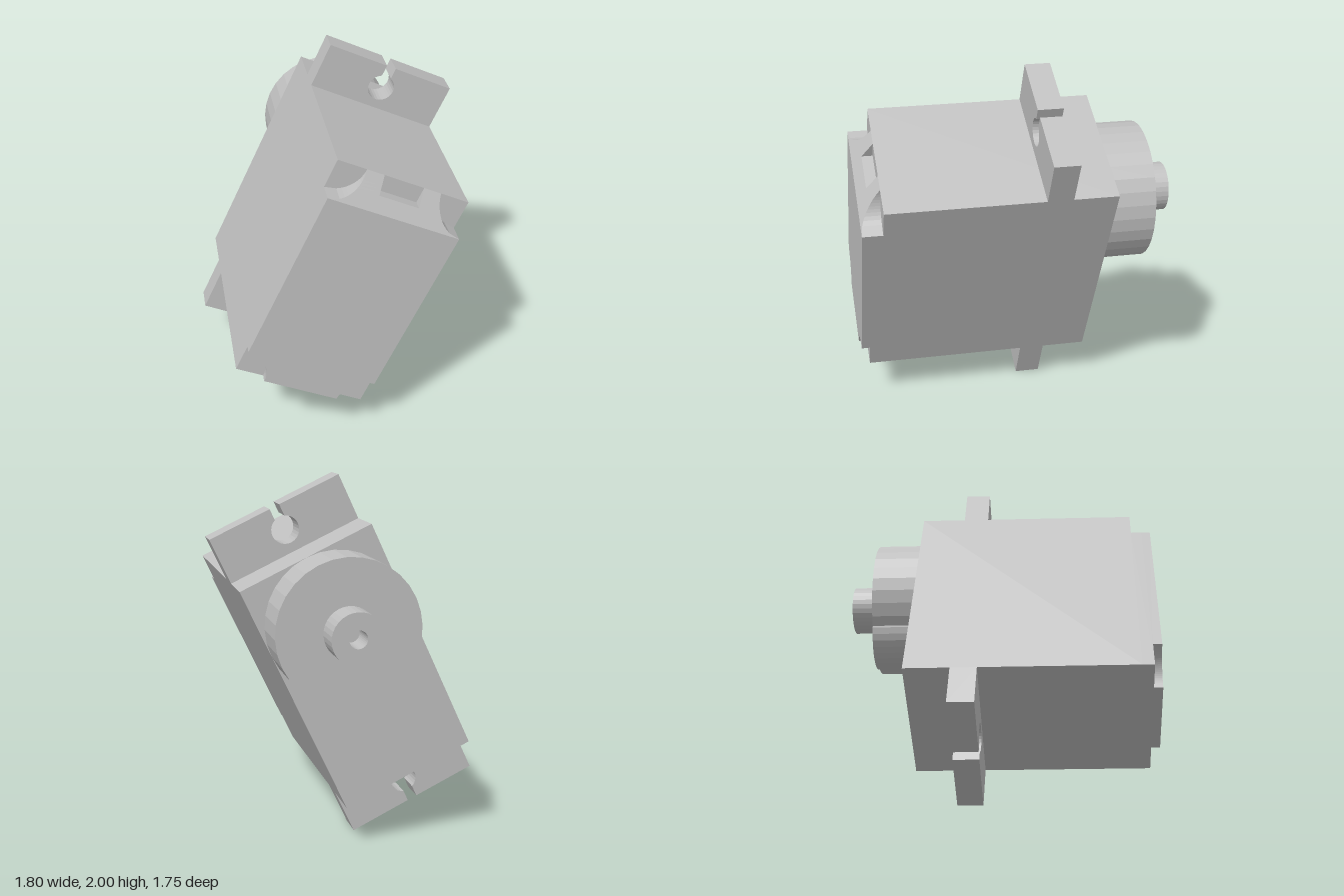
import * as THREE from 'three';

// Local frame: x = length (ear to ear), y = output shaft axis, z = width
const HL = 0.6675, HW = 0.38, H = 1.34;      // half length, half width, height
const CH_L = 0.165, CH_A = 0.11;             // chamfer run and rise
const NOTCH_R = 0.16, NOTCH_D = 0.048;       // corner screw recesses
const POCKET_L = 0.09, POCKET_W = 0.115;     // cable pocket in the chamfer
const HEAD_H = 0.25, SHAFT_H = 0.157;

const grey = new THREE.MeshStandardMaterial({ color: 0xc0c0c0, flatShading: true });
grey.name = 'plain grey';

function add(parent, name, geometry, x = 0, y = 0, z = 0) {
  const mesh = new THREE.Mesh(geometry, grey);
  mesh.name = name;
  mesh.position.set(x, y, z);
  parent.add(mesh);
  return mesh;
}

// Extrude a length/width outline upward along the shaft axis
function slab(shape, height) {
  return new THREE.ExtrudeGeometry(shape, { depth: height, bevelEnabled: false, curveSegments: 12 })
    .rotateX(-Math.PI / 2);
}

// Half width of the chamfer strip at distance d from the end, between the round recesses
const stripHalf = (d) => HW - Math.sqrt(Math.max(0, CH_L * CH_L - d * d));

// Sloping wedge lofted from rectangular sections between distances d0 and d1 from the end
function wedge(d0, d1, zLow, zHigh, steps) {
  const pos = [];
  const push = (...pts) => pts.forEach((p) => pos.push(...p));
  const ring = (i) => {
    const d = d0 + (d1 - d0) * i / steps, x = HL - d, y = CH_A * (1 - d / CH_L);
    const a = zLow(d), b = zHigh(d);
    return [[x, y, a], [x, y, b], [x, CH_A, b], [x, CH_A, a]];
  };
  for (let i = 0; i < steps; i++) {
    const p = ring(i), q = ring(i + 1);
    for (let k = 0; k < 4; k++) {
      const n = (k + 1) % 4;
      push(p[k], q[k], p[n], p[n], q[k], q[n]);
    }
  }
  if (d1 > 0) {
    const e = ring(steps);
    push(e[0], e[3], e[2], e[0], e[2], e[1]);
  }
  const g = new THREE.BufferGeometry();
  g.setAttribute('position', new THREE.Float32BufferAttribute(pos, 3));
  g.computeVertexNormals();
  return g;
}

// Bottom layer outline with quarter-round recesses at two corners
function baseShape() {
  const s = new THREE.Shape(), end = HL - CH_L, r = NOTCH_R;
  s.moveTo(-HL + r, -HW);
  s.lineTo(end, -HW);
  s.lineTo(end, HW);
  s.lineTo(-HL + r, HW);
  s.absarc(-HL, HW, r, 0, -Math.PI / 2, true);
  s.lineTo(-HL, -HW + r);
  s.absarc(-HL, -HW, r, Math.PI / 2, 0, true);
  return s;
}

// Mounting ear outline with a screw hole open to the tip
function earShape() {
  const s = new THREE.Shape(), e = 0.258, c = 0.124, r = 0.075, slit = 0.028;
  const phi = Math.asin(slit / r);
  s.moveTo(0, -HW);
  s.lineTo(e, -HW);
  s.lineTo(e, -slit);
  s.absarc(c, 0, r, -phi, phi, true);
  s.lineTo(e, slit);
  s.lineTo(e, HW);
  s.lineTo(0, HW);
  s.closePath();
  return s;
}

export function createModel() {
  const model = new THREE.Group();
  model.name = 'servoMotor';
  const servo = new THREE.Group();
  servo.name = 'tiltedServo';
  model.add(servo);

  // Case
  add(servo, 'caseBody', new THREE.BoxGeometry(2 * HL, H - CH_A, 2 * HW), 0, (H + CH_A) / 2);
  add(servo, 'caseLower', new THREE.BoxGeometry(2 * HL - CH_L, CH_A - NOTCH_D, 2 * HW),
    -CH_L / 2, (CH_A + NOTCH_D) / 2);
  add(servo, 'caseBase', slab(baseShape(), NOTCH_D));

  // Chamfered end, split around the cable pocket
  add(servo, 'chamfer', wedge(CH_L, POCKET_L, (d) => -stripHalf(d), stripHalf, 6));
  add(servo, 'chamferSideA', wedge(POCKET_L, 0, () => POCKET_W, stripHalf, 6));
  add(servo, 'chamferSideB', wedge(POCKET_L, 0, (d) => -stripHalf(d), () => -POCKET_W, 6));

  // Mounting ears
  for (const side of [1, -1]) {
    const ear = add(servo, side > 0 ? 'upperEar' : 'lowerEar', slab(earShape(), 0.14), side * HL, 0.955);
    if (side < 0) ear.rotation.y = Math.PI;
  }

  // Gear housing and output shaft
  const cx = HL - HW;
  add(servo, 'gearHousing', new THREE.CylinderGeometry(HW, HW, HEAD_H, 32), cx, H + HEAD_H / 2);
  add(servo, 'smallGearHousing', new THREE.CylinderGeometry(0.19, 0.19, HEAD_H, 32),
    cx - 0.245, H + HEAD_H / 2);
  const profile = [[0.136, 0], [0.136, SHAFT_H], [0.047, SHAFT_H], [0.047, 0.01], [0, 0.01]]
    .map(([x, y]) => new THREE.Vector2(x, y));
  add(servo, 'outputShaft', new THREE.LatheGeometry(profile, 32), cx, H + HEAD_H);

  // Resting pose: shaft level and turned 30 degrees, length leaning 25 degrees
  const s = Math.sin(25 * Math.PI / 180), c = Math.cos(25 * Math.PI / 180), k = Math.sqrt(3) / 2;
  servo.quaternion.setFromRotationMatrix(new THREE.Matrix4().makeBasis(
    new THREE.Vector3(0.5 * s, c, -k * s),
    new THREE.Vector3(-k, 0, -0.5),
    new THREE.Vector3(-0.5 * c, s, k * c)));
  servo.position.set(0.62, 1, 0.35);
  return model;
}
